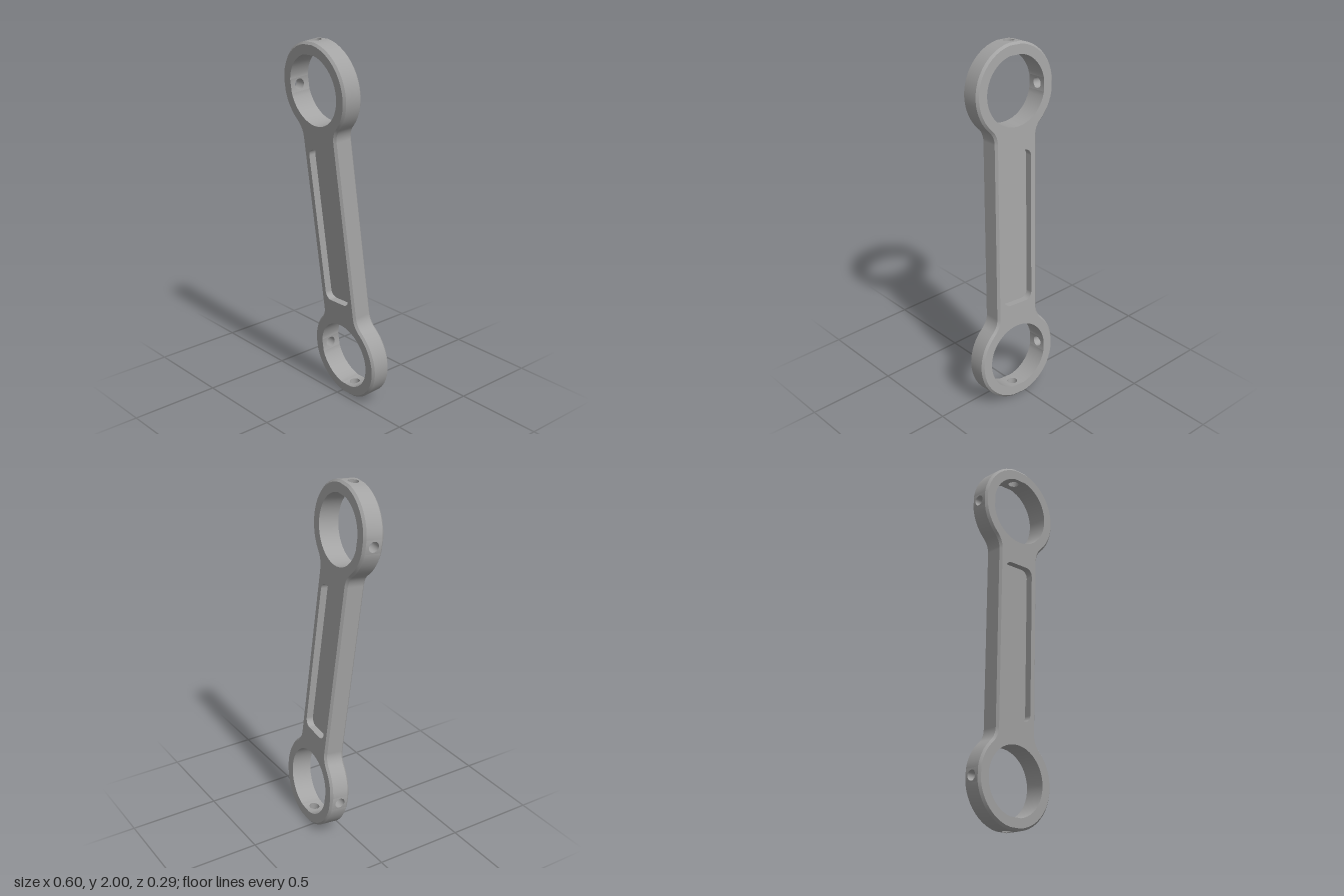
import * as THREE from 'three';

// Plate dimensions in its own frame: u across, v along, w through the thickness
const R = 0.25, BORE = 0.187, CENTRE = 0.75;          // end rings
const H = 0.0575, CHAMFER = 0.012;                    // half thickness, edge chamfer
const BAR = 0.135, FILLET = 0.1;                      // half bar width, neck fillet
const WEB = 0.018, PW = 0.095, PH = 0.43, PR = 0.04;  // pocket floor and outline
const HOLE = 0.0285, PATCH = 0.037;                   // screw holes and wall patch around them
const HOLE_ANGLES = [Math.PI / 2, Math.PI];

const at = (loop, w) => loop.map(p => new THREE.Vector3(p.x, p.y, w));
const mirrored = loop => loop.map(p => new THREE.Vector2(p.x, -p.y)).reverse();
const reversed = loop => [...loop].reverse();

// Points on an arc
function arc(cx, cy, r, a0, a1, n) {
  return Array.from({ length: n + 1 }, (_, i) => {
    const a = a0 + (a1 - a0) * i / n;
    return new THREE.Vector2(cx + r * Math.cos(a), cy + r * Math.sin(a));
  });
}

// Ring arc that leaves one single segment open at each screw hole
function ringArc(r, wallR, a0, a1) {
  const d = Math.asin(PATCH / wallR), pts = [];
  const stops = [a0, ...HOLE_ANGLES.flatMap(a => [a - d, a + d]), a1];
  for (let i = 0; i < stops.length; i += 2) {
    const n = Math.max(3, Math.round((stops[i + 1] - stops[i]) / 0.13));
    pts.push(...arc(0, CENTRE, r, stops[i], stops[i + 1], n));
  }
  return pts;
}

// Whole outline, moved inwards by a given amount
function outline(inset) {
  const fx = BAR + FILLET;
  const drop = Math.sqrt((R + FILLET) ** 2 - fx ** 2), t = Math.atan2(drop, fx);
  const fr = FILLET + inset, fy = CENTRE - drop;
  const top = [
    ...arc(fx, fy, fr, Math.PI, Math.PI - t, 7).slice(0, -1),
    ...ringArc(R - inset, R, -t, Math.PI + t),
    ...arc(-fx, fy, fr, t, 0, 7).slice(1),
  ];
  return [...top, ...mirrored(top)];
}

function pocketLoop() {
  const c = [[1, 1], [-1, 1], [-1, -1], [1, -1]];
  return c.flatMap(([sx, sy], k) =>
    arc(sx * (PW - PR), sy * (PH - PR), PR, k * Math.PI / 2, (k + 1) * Math.PI / 2, 6));
}

// Closed band between two loops, leaving out segments centred on the gaps
function strip(a, b, gaps = []) {
  const n = a.length, all = [], kept = [];
  for (let i = 0; i < n; i++) {
    const j = (i + 1) % n;
    const quad = [i, j, n + j, i, n + j, n + i];
    all.push(...quad);
    const mx = (a[i].x + a[j].x) / 2, my = (a[i].y + a[j].y) / 2;
    if (!gaps.some(g => Math.hypot(g.x - mx, g.y - my) < 0.012)) kept.push(...quad);
  }
  const g = new THREE.BufferGeometry().setFromPoints([...a, ...b]);
  g.setIndex(all);
  g.computeVertexNormals();
  g.setIndex(kept);
  return g;
}

function flip(g) {
  g.setIndex(Array.from(g.index.array).reverse());
  return g;
}

// Flat face with openings, facing +w or -w
function face(outer, holes, w, side) {
  const shape = new THREE.Shape(outer);
  shape.holes = holes.map(h => new THREE.Path(h));
  const g = new THREE.ShapeGeometry(shape).translate(0, 0, w);
  if (side < 0) flip(g).computeVertexNormals();
  return g;
}

// Wraps flat (s, w) onto a ring wall at a given angle
function wrap(r, cy, angle, s, w) {
  const a = angle + Math.asin(s / r);
  return new THREE.Vector3(r * Math.cos(a), cy + r * Math.sin(a), w);
}

// Curved piece of ring wall pierced by a screw hole
function patch(r, cy, angle, halfHeight, facing) {
  const shape = new THREE.Shape([[-1, -1], [1, -1], [1, 1], [-1, 1]]
    .map(([x, y]) => new THREE.Vector2(x * PATCH, y * halfHeight)));
  shape.holes = [new THREE.Path(arc(0, 0, HOLE, 0, Math.PI * 2, 20).slice(0, -1))];
  const g = new THREE.ShapeGeometry(shape), p = g.attributes.position, nrm = g.attributes.normal;
  for (let i = 0; i < p.count; i++) {
    const q = wrap(r, cy, angle, p.getX(i), p.getY(i));
    p.setXYZ(i, q.x, q.y, q.z);
    nrm.setXYZ(i, facing * q.x / r, facing * (q.y - cy) / r, 0);
  }
  return facing < 0 ? flip(g) : g;
}

export function createModel() {
  const metal = new THREE.MeshStandardMaterial({ color: 0xa3a3a3 });
  metal.name = 'grey metal';
  const link = new THREE.Group();
  link.name = 'connectingLink';
  const add = (name, geometry) => {
    const m = new THREE.Mesh(geometry, metal);
    m.name = name;
    link.add(m);
  };

  const rim = outline(0), inner = outline(CHAMFER), pocket = pocketLoop();
  const topBore = ringArc(BORE, BORE, -Math.PI / 2, Math.PI * 1.5).slice(0, -1);
  const bores = [topBore, mirrored(topBore)];
  const flat = H - CHAMFER;

  // Screw holes: one at the tip and one at the side of each ring
  const holes = [1, -1].flatMap(s => HOLE_ANGLES.map(a => ({ cy: s * CENTRE, angle: s * a })));
  const gapsAt = r => holes.map(h => wrap(r * Math.cos(Math.asin(PATCH / r)), h.cy, h.angle, 0, 0));

  // Outer wall, chamfers, faces and pockets
  add('outerWall', strip(at(rim, -flat), at(rim, flat), gapsAt(R)));
  add('frontChamfer', strip(at(rim, flat), at(inner, H)));
  add('backChamfer', strip(at(inner, -H), at(rim, -flat)));
  for (const [name, s] of [['front', 1], ['back', -1]]) {
    add(name + 'Face', face(inner, [...bores, pocket], s * H, s));
    add(name + 'PocketFloor', face(pocket, [], s * WEB, s));
    const low = Math.min(s * WEB, s * H), high = Math.max(s * WEB, s * H);
    add(name + 'PocketWall', strip(at(reversed(pocket), low), at(reversed(pocket), high)));
  }

  // Ring bores
  bores.forEach((b, i) => add(['upperBore', 'lowerBore'][i],
    strip(at(reversed(b), -H), at(reversed(b), H), gapsAt(BORE))));

  // Screw holes through the ring walls
  for (const { cy, angle } of holes) {
    add('screwHoleOuterRim', patch(R, cy, angle, flat, 1));
    add('screwHoleInnerRim', patch(BORE, cy, angle, H, -1));
    const circle = reversed(arc(0, 0, HOLE, 0, Math.PI * 2, 20).slice(0, -1));
    const end = r => circle.map(c => wrap(r, cy, angle, c.x, c.y));
    add('screwHole', strip(end(BORE), end(R)));
  }

  // Lean the link: top forward and to one side, slightly turned
  const along = new THREE.Vector3(-0.064, 1, 0.085).normalize();
  const across = new THREE.Vector3(1, 0.0602, 0.045).normalize();
  const through = new THREE.Vector3().crossVectors(across, along).normalize();
  across.crossVectors(along, through);
  link.setRotationFromMatrix(new THREE.Matrix4().makeBasis(across, along, through));
  link.position.y = 1;

  const model = new THREE.Group();
  model.name = 'model';
  model.add(link);
  return model;
}
